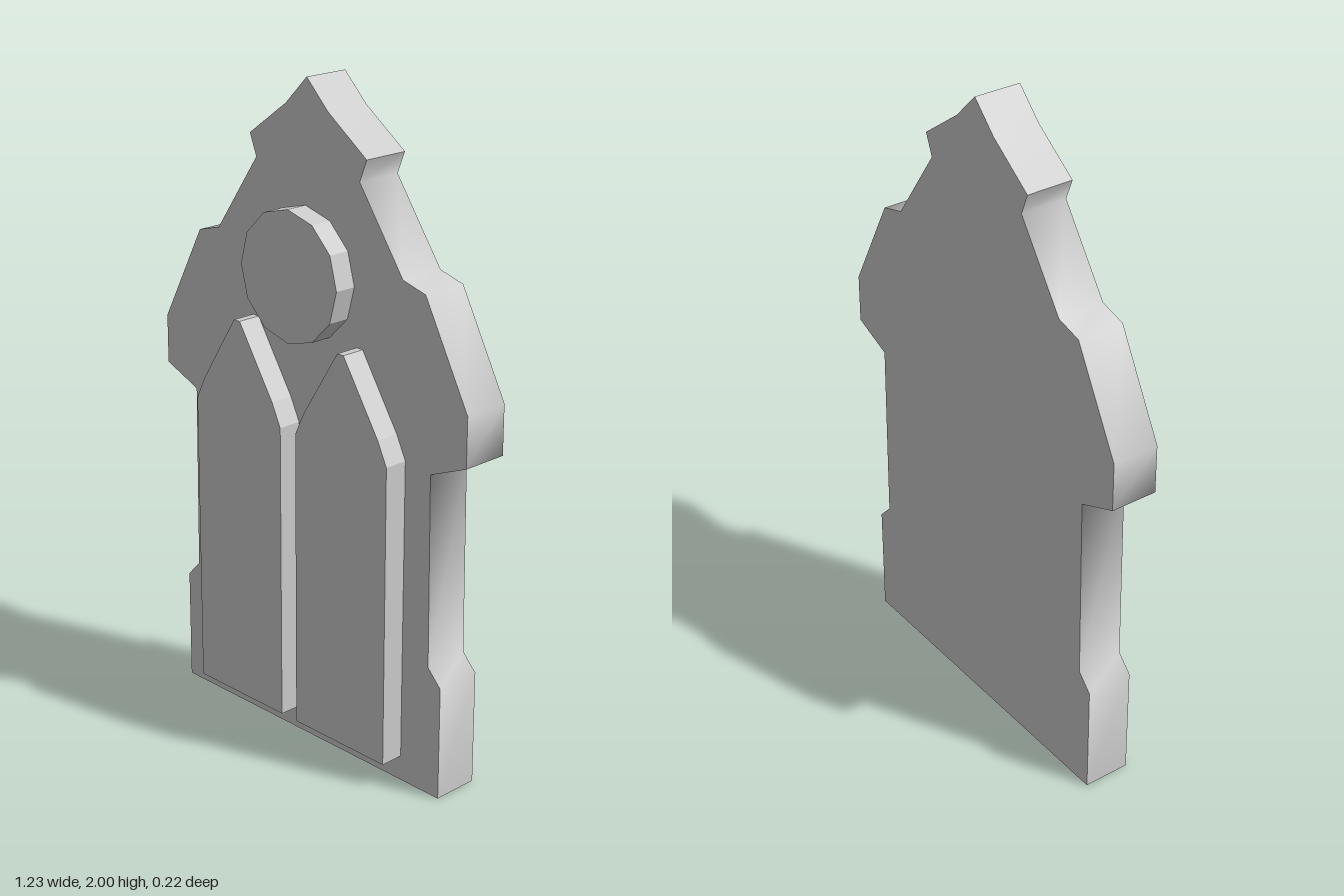
import * as THREE from 'three';
import { toCreasedNormals } from 'three/addons/utils/BufferGeometryUtils.js';

const material = new THREE.MeshStandardMaterial({ color: 0xcccccc });

// Flat plate cut from an outline, spanning z = back to z = front
function plate(name, points, back, front, crease = 0.1) {
  const shape = new THREE.Shape(points.map(([x, y]) => new THREE.Vector2(x, y)));
  const geometry = new THREE.ExtrudeGeometry(shape, { depth: front - back, bevelEnabled: false });
  geometry.translate(0, 0, back);
  const mesh = new THREE.Mesh(toCreasedNormals(geometry, crease), material);
  mesh.name = name;
  return mesh;
}

// Completes a symmetric outline from its right half, listed bottom to top
function mirrored(half) {
  const left = half.filter(([x]) => x > 0).map(([x, y]) => [-x, y]).reverse();
  return [...half, ...left];
}

export function createModel() {
  const group = new THREE.Group();
  group.name = 'gothicFacade';
  const wallFront = 0.036;

  // Gabled wall with stepped shoulders and a wider base
  const wallHalf = [
    [0.54, 0], [0.54, 0.35], [0.492, 0.4], [0.486, 0.982],
    [0.616, 1.035], [0.616, 1.185], [0.456, 1.485], [0.372, 1.508],
    [0.206, 1.745], [0.232, 1.81], [0.083, 1.917], [0, 2],
  ];
  group.add(plate('wall', mirrored(wallHalf), -0.11, wallFront, 1.2));

  // Two raised pointed window panels
  const windowHalf = [
    [0.181, 0.077], [0.181, 0.995], [0.147, 1.065], [0.012, 1.276],
  ];
  for (const [name, x] of [['rightWindow', -0.215], ['leftWindow', 0.21]]) {
    const panel = plate(name, mirrored(windowHalf), wallFront - 0.005, 0.11);
    panel.position.x = x;
    group.add(panel);
  }

  // Raised twelve-sided round window
  const roundPoints = Array.from({ length: 12 }, (_, i) => {
    const a = (i / 12) * Math.PI * 2;
    return [-0.006 + 0.194 * Math.cos(a), 1.448 + 0.194 * Math.sin(a)];
  });
  group.add(plate('roundWindow', roundPoints, wallFront - 0.005, 0.104));

  return group;
}
